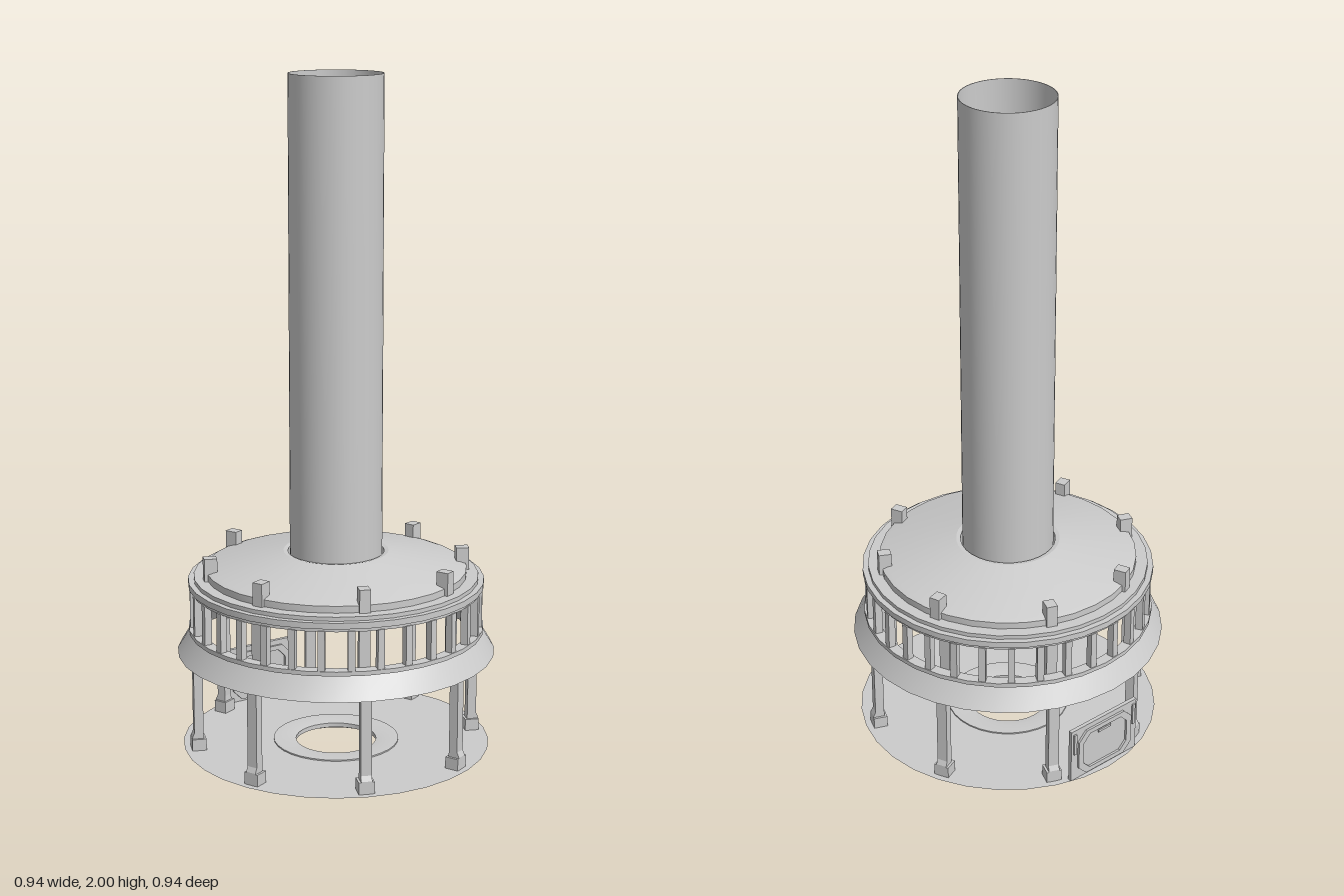
import * as THREE from 'three';
import { toCreasedNormals } from 'three/addons/utils/BufferGeometryUtils.js';

const grey = new THREE.MeshStandardMaterial({ color: 0xcccccc, side: THREE.DoubleSide });

export function createModel() {
  const root = new THREE.Group();
  root.name = 'tower';

  const add = (name, geometry, parent = root) => {
    const mesh = new THREE.Mesh(geometry, grey);
    mesh.name = name;
    parent.add(mesh);
    return mesh;
  };
  // Turned part from [radius, height] pairs, with crisp profile corners
  const turned = (name, profile, sides = 32) => add(name, toCreasedNormals(
    new THREE.LatheGeometry(profile.map(([r, y]) => new THREE.Vector2(r, y)), sides), 0.3));
  const box = (name, w, h, d, x, y, z, parent) => {
    const mesh = add(name, new THREE.BoxGeometry(w, h, d), parent);
    mesh.position.set(x, y, z);
    return mesh;
  };

  // Floor plate and the raised rim under its central hole
  turned('floor', [[0.457, 0.022], [0.12, 0.022]]);
  turned('floorRim', [[0.122, 0.022], [0.122, 0.008], [0.135, 0.008], [0.14, 0],
    [0.18, 0], [0.187, 0.008], [0.187, 0.026], [0.145, 0.026], [0.122, 0.022]]);

  // Sloping skirt below the windows
  turned('skirt', [[0.405, 0.375], [0.43, 0.375], [0.47, 0.31], [0.458, 0.31], [0.42, 0.365], [0.405, 0.375]]);

  // Window band: sill, mullions and head
  turned('windowSill', [[0.405, 0.375], [0.437, 0.375], [0.437, 0.388], [0.405, 0.388], [0.405, 0.375]]);
  turned('windowHead', [[0.4, 0.502], [0.43, 0.502], [0.43, 0.512], [0.437, 0.512],
    [0.437, 0.53], [0.4, 0.53], [0.4, 0.502]]);
  const mullions = 32;
  for (let i = 0; i < mullions; i++) {
    const a = (i + 0.5) / mullions * Math.PI * 2;
    box('mullion', 0.02, 0.118, 0.022, 0.421 * Math.sin(a), 0.445, 0.421 * Math.cos(a)).rotation.y = a;
  }

  // Stepped shallow roof with a recessed collar around the column
  turned('roof', [[0.437, 0.53], [0.42, 0.53], [0.42, 0.542], [0.385, 0.542], [0.385, 0.562],
    [0.37, 0.567], [0.155, 0.612], [0.142, 0.61], [0.142, 0.56]]);
  turned('ceiling', [[0.4, 0.515], [0.38, 0.535], [0.142, 0.56]]);

  // Tall open column
  turned('column', [[0.124, 0.56], [0.136, 0.56], [0.136, 2], [0.134, 2], [0.134, 0.575], [0.124, 0.56]], 48);

  // Blocks standing around the roof edge
  for (const deg of [22, 158, 202, 248, 292, 338, 107, 62]) {
    const a = THREE.MathUtils.degToRad(deg);
    box('roofBlock', 0.032, 0.075, 0.038, 0.375 * Math.sin(a), 0.572, 0.375 * Math.cos(a)).rotation.y = a;
  }

  // Legs: radial profile with a widened foot and a bracket under the roof
  const legShape = new THREE.Shape([
    [0.398, 0.022], [0.437, 0.022], [0.437, 0.06], [0.43, 0.075], [0.43, 0.32], [0.405, 0.36],
    [0.405, 0.525], [0.365, 0.535], [0.385, 0.5], [0.385, 0.36], [0.403, 0.32], [0.403, 0.075],
  ].map(([r, y]) => new THREE.Vector2(r, y)));
  const legGeometry = new THREE.ExtrudeGeometry(legShape, { depth: 0.032, bevelEnabled: false });
  legGeometry.translate(0, 0, -0.016);
  for (let i = 0; i < 8; i++) {
    const leg = new THREE.Group();
    leg.name = 'leg';
    leg.rotation.y = (i + 0.5) * Math.PI / 4;
    add('legPost', legGeometry, leg);
    box('footPlate', 0.042, 0.035, 0.046, 0.416, 0.04, 0, leg);
    root.add(leg);
  }

  // Hatch panel standing at the back edge of the floor
  const hatch = new THREE.Group();
  hatch.name = 'hatch';
  hatch.position.z = -0.43;
  root.add(hatch);
  box('hatchPanel', 0.26, 0.176, 0.012, 0, 0.11, 0, hatch);

  // Chamfered outline used for the raised frame and its opening
  const outline = (w, bottom, top, c, Type) => new Type([
    [-w, bottom + c], [-w + c, bottom], [w - c, bottom], [w, bottom + c],
    [w, top - c], [w - c, top], [-w + c, top], [-w, top - c],
  ].map(([x, y]) => new THREE.Vector2(x, y)));
  const frameShape = outline(0.105, 0.03, 0.182, 0.03, THREE.Shape);
  frameShape.holes.push(outline(0.086, 0.045, 0.167, 0.025, THREE.Path));
  const frame = add('hatchFrame', new THREE.ExtrudeGeometry(frameShape, { depth: 0.026, bevelEnabled: false }), hatch);
  frame.position.z = -0.013;
  box('hatchHandle', 0.05, 0.008, 0.02, 0, 0.155, 0, hatch);
  for (const s of [-1, 1]) box('hatchRail', 0.01, 0.07, 0.022, s * 0.117, 0.15, 0, hatch);

  return root;
}
